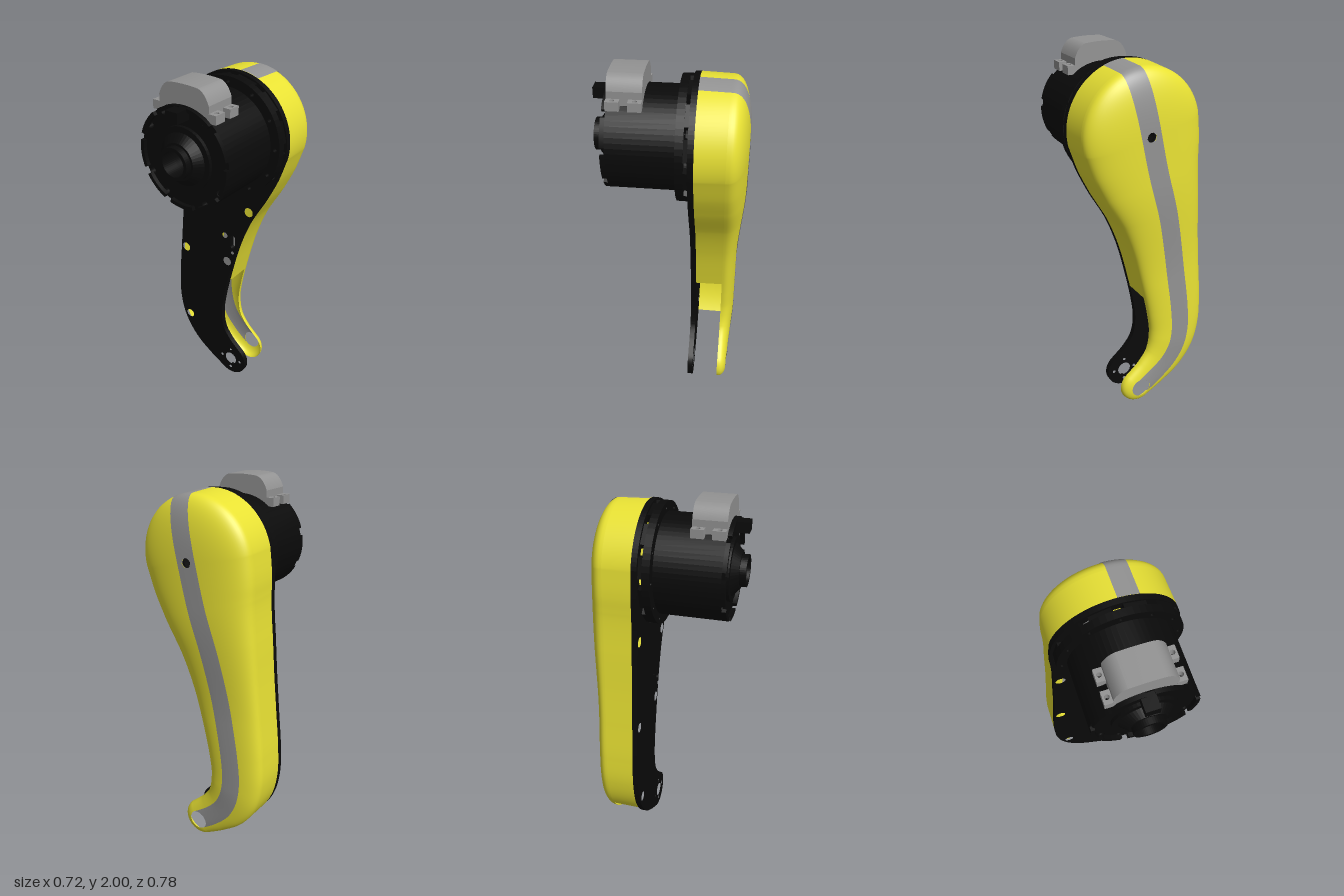
import * as THREE from 'three';

const mat = (color, side = THREE.FrontSide) => new THREE.MeshStandardMaterial({ color, side, roughness: 0.7 });
const black = mat(0x0a0a0a);
const grey = mat(0x939393), greyThin = mat(0x939393, THREE.DoubleSide);
const yellowThin = mat(0xe9e234, THREE.DoubleSide);
const MX = 0.04, MY = 1.635; // motor axis

function add(parent, name, geometry, material, x = 0, y = 0, z = 0) {
  const m = new THREE.Mesh(geometry, material);
  m.name = name;
  m.position.set(x, y, z);
  parent.add(m);
  return m;
}

// Surface through equal rows of points
function grid(rows) {
  const n = rows[0].length, index = [];
  for (let i = 0; i < rows.length - 1; i++)
    for (let j = 0; j < n - 1; j++) {
      const a = i * n + j, b = a + n;
      index.push(a, b, a + 1, b, b + 1, a + 1);
    }
  const g = new THREE.BufferGeometry();
  g.setAttribute('position', new THREE.Float32BufferAttribute(rows.flat(2), 3));
  g.setIndex(index);
  g.computeVertexNormals();
  return g;
}

function hole(shape, x, y, r) {
  shape.holes.push(new THREE.Path().absarc(x, y, r, 0, Math.PI * 2, true));
}
const disc = (r) => new THREE.Shape().absarc(0, 0, r, 0, Math.PI * 2, false);
const extrude = (shape, depth) =>
  new THREE.ExtrudeGeometry(shape, { depth, bevelEnabled: false, curveSegments: 32 });

// Arm spine: x, y and half width
const spine = new THREE.CatmullRomCurve3([
  [0.035, 1.635, 0.327], [0.005, 1.5, 0.31], [-0.02, 1.4, 0.287], [-0.078, 1.2, 0.238], [-0.122, 1.0, 0.205],
  [-0.157, 0.8, 0.186], [-0.187, 0.6, 0.172], [-0.196, 0.46, 0.163], [-0.178, 0.35, 0.154],
  [-0.13, 0.255, 0.138], [-0.05, 0.175, 0.119], [0.04, 0.11, 0.106],
].map((p) => new THREE.Vector3(...p)));
const N = 160, HOLES = [0.025, 0.055];
const stations = Array.from({ length: N + 1 }, (_, i) => {
  const p = spine.getPointAt(i / N), d = spine.getTangentAt(i / N);
  const l = Math.hypot(d.x, d.y);
  return { x: p.x, y: p.y, r: p.z, tx: d.x / l, ty: d.y / l };
});
const first = stations[0], last = stations[N];

// Outline rays, going round from the lower outer side over the top to the lower end
function outline() {
  const ray = (s, a, b, side) => ({ s, side, dx: -s.ty * a + s.tx * b, dy: s.tx * a + s.ty * b });
  const out = [], M = 48;
  for (let i = N; i >= 0; i--) out.push(ray(stations[i], -1, 0, -1));
  for (let i = 1; i < M; i++) {
    const t = (i / M) * Math.PI;
    out.push(ray(first, -Math.cos(t), -Math.sin(t), 0));
  }
  for (let i = 0; i <= N; i++) out.push(ray(stations[i], 1, 0, 1));
  for (let i = 1; i <= M; i++) {
    const t = (i / M) * Math.PI;
    out.push(ray(last, Math.cos(t), Math.sin(t), 2));
  }
  return out;
}
const at = (o, k) => [o.s.x + o.dx * o.s.r * k, o.s.y + o.dy * o.s.r * k];

// Dome depth at relative distance k from the spine
const SEAM = -0.28, INSET = 0.985;
function domeZ(y, k) {
  const h = 0.335 + 0.018 * THREE.MathUtils.smoothstep(y, 0.1, 0.4) + 0.032 * THREE.MathUtils.smoothstep(y, 0.8, 1.4);
  return SEAM - (h + SEAM) * Math.pow(Math.max(0, 1 - Math.pow(k, 2.5)), 0.4);
}

function buildShell(parent, rays) {
  const kMin = (s) => Math.max(...[first, last].map((e, i) => {
    const d = Math.hypot(s.x - e.x, s.y - e.y);
    return Math.sqrt(Math.max(0, HOLES[i] ** 2 - d * d)) / s.r;
  }));
  // Domed back, open at the two holes
  const rows = [];
  for (let j = 0; j <= 20; j++) {
    const ring = Math.sin((1 - j / 20) * Math.PI / 2);
    rows.push(rays.map((o) => {
      const k = Math.max(ring, kMin(o.s));
      return [...at(o, k * INSET), domeZ(o.s.y, k)];
    }));
  }
  add(parent, 'shellDome', grid(rows), yellowThin);

  // Side wall, cut away near the lower end
  const kept = rays.filter((o) => o.side === 0 || (o.side === 1 && at(o, 1)[1] > 0.67) ||
    (o.side === -1 && at(o, 1)[1] > 0.21));
  add(parent, 'shellWall', grid([
    kept.map((o) => [...at(o, 1), -0.13]), kept.map((o) => [...at(o, INSET), SEAM]),
  ]), yellowThin);

  // Grey band along the spine, seen from outside and inside
  const W = Array.from({ length: 13 }, (_, i) => (i / 6 - 1) * 0.054);
  const gap = (h, w) => Math.sqrt(Math.max(0, h * h - w * w));
  for (const lift of [0.003, -0.003]) {
    const body = stations.map((s) => W.map((w) => {
      let c = s, shift = 0;
      const g0 = gap(HOLES[0], w), g1 = gap(HOLES[1], w);
      if (Math.hypot(s.x - first.x, s.y - first.y) < g0) { c = first; shift = g0; }
      if (Math.hypot(s.x - last.x, s.y - last.y) < g1) { c = last; shift = -g1; }
      return [c.x - c.ty * w + c.tx * shift, c.y + c.tx * w + c.ty * shift,
        domeZ(s.y, Math.abs(w) / s.r) - lift];
    }));
    add(parent, 'backBand', grid(body), greyThin);
    const top = [];
    const topRow = (k, z, scale) => top.push(W.map((w) => {
      const R = k * first.r * scale * (1 + lift);
      const a = Math.max(gap(HOLES[0], w), gap(R, w));
      const kk = Math.max(k, Math.hypot(a, w) / first.r);
      return [first.x - first.ty * w - first.tx * a, first.y + first.tx * w - first.ty * a,
        z ?? domeZ(first.y, Math.min(1, kk)) - lift];
    }));
    for (let i = 0; i <= 24; i++) topRow(Math.sin((i / 24) * Math.PI / 2), undefined, INSET);
    topRow(1, -0.13, 1);
    add(parent, 'topBand', grid(top), greyThin);
  }
}

function buildPlate(parent, rays) {
  const shape = new THREE.Shape(rays.slice(0, -1).map((o) => new THREE.Vector2(...at(o, 1))));
  hole(shape, MX, MY, 0.285);
  hole(shape, 0.04, 0.11, 0.04);
  for (const [dx, dy] of [[0.067, 0], [-0.067, 0], [0, 0.067], [0, -0.067]]) hole(shape, 0.04 + dx, 0.11 + dy, 0.009);
  for (const [x, y, r] of [[-0.265, 1.315, 0.027], [0.145, 1.2, 0.027], [-0.305, 0.815, 0.027], [-0.285, 0.32, 0.027],
    [0.003, 0.83, 0.027], [-0.015, 1.0, 0.018], [0.04, 0.9, 0.01]]) hole(shape, x, y, r);
  const slot = new THREE.Path();
  slot.absarc(0.04, 1.0, 0.016, 0, Math.PI, false);
  slot.absarc(0.04, 0.945, 0.016, Math.PI, Math.PI * 2, false);
  shape.holes.push(slot);
  add(parent, 'armPlate', extrude(shape, 0.03), black, 0, 0, -0.13);
}

function buildMotor(parent) {
  const g = new THREE.Group();
  g.name = 'motor';
  g.position.set(MX, MY, 0);
  parent.add(g);
  const ringHoles = (shape, count, R, r, phase = 0) => {
    for (let i = 0; i < count; i++) {
      const a = phase + (i / count) * Math.PI * 2;
      hole(shape, R * Math.cos(a), R * Math.sin(a), r);
    }
  };
  // Body with through holes
  const body = disc(0.265);
  hole(body, 0, 0, 0.065);
  ringHoles(body, 6, 0.105, 0.014);
  for (const a of [30, 60, 120, 150, 210, 240, 300, 330])
    hole(body, 0.243 * Math.cos(a * Math.PI / 180), 0.243 * Math.sin(a * Math.PI / 180), 0.018);
  add(g, 'motorBody', extrude(body, 0.34), black, 0, 0, -0.04);
  // Mounting flange on spacers
  const flange = disc(0.317);
  hole(flange, 0, 0, 0.26);
  ringHoles(flange, 12, 0.29, 0.01);
  add(g, 'flange', extrude(flange, 0.04), black, 0, 0, -0.08);
  for (let i = 0; i < 12; i++) {
    const a = ((i + 0.5) / 12) * Math.PI * 2;
    const b = add(g, 'flangeSpacer', new THREE.BoxGeometry(0.04, 0.11, 0.03), black,
      0.293 * Math.cos(a), 0.293 * Math.sin(a), -0.092);
    b.rotation.z = a;
  }
  // Notched front rim
  for (let i = 0; i < 9; i++) {
    const a = (i / 9) * Math.PI * 2 + 0.2, arc = new THREE.Shape();
    arc.absarc(0, 0, 0.265, a, a + 0.55, false);
    arc.absarc(0, 0, 0.245, a + 0.55, a, true);
    add(g, 'rimSegment', extrude(arc, 0.022), black, 0, 0, 0.3);
  }
  // Stepped hub
  const hub = new THREE.LatheGeometry([[0.065, 0.3], [0.065, 0.388], [0.083, 0.388], [0.083, 0.355], [0.095, 0.355],
    [0.135, 0.318], [0.165, 0.318], [0.165, 0.3]].reverse().map((p) => new THREE.Vector2(...p)), 48);
  hub.rotateX(Math.PI / 2);
  const flat = hub.toNonIndexed();
  flat.computeVertexNormals();
  // Keep the six inner holes clear by narrowing the hub base
  flat.scale(0.999, 0.999, 1);
  add(g, 'hub', flat, mat(0x0a0a0a, THREE.DoubleSide));
  add(g, 'connector', new THREE.BoxGeometry(0.07, 0.055, 0.085), black, 0, 0.232, 0.345);

  // Grey cover saddled on top
  const cover = new THREE.Shape();
  cover.moveTo(-0.147, 0.222);
  cover.lineTo(-0.147, 0.29);
  cover.quadraticCurveTo(-0.125, 0.35, -0.085, 0.36);
  cover.quadraticCurveTo(0, 0.369, 0.085, 0.36);
  cover.quadraticCurveTo(0.125, 0.35, 0.147, 0.29);
  cover.lineTo(0.147, 0.222);
  cover.absarc(0, 0, 0.266, Math.atan2(0.222, 0.147), Math.PI - Math.atan2(0.222, 0.147), false);
  add(g, 'topCover', extrude(cover, 0.172), grey, 0, 0, 0.127);
  for (const s of [-1, 1])
    for (const z of [0.16, 0.267]) {
      const tab = new THREE.Shape([[-0.025, -0.033], [0.025, -0.033], [0.025, 0.033], [-0.025, 0.033]]
        .map((p) => new THREE.Vector2(...p)));
      hole(tab, 0.004 * s, 0, 0.012);
      const m = add(g, 'coverTab', extrude(tab, 0.045), grey, s * 0.163, 0.21, z);
      m.rotation.x = -Math.PI / 2;
    }
}

export function createModel() {
  const model = new THREE.Group();
  model.name = 'crankArm';
  const rays = outline();
  buildPlate(model, rays);
  buildShell(model, rays);
  buildMotor(model);
  return model;
}
